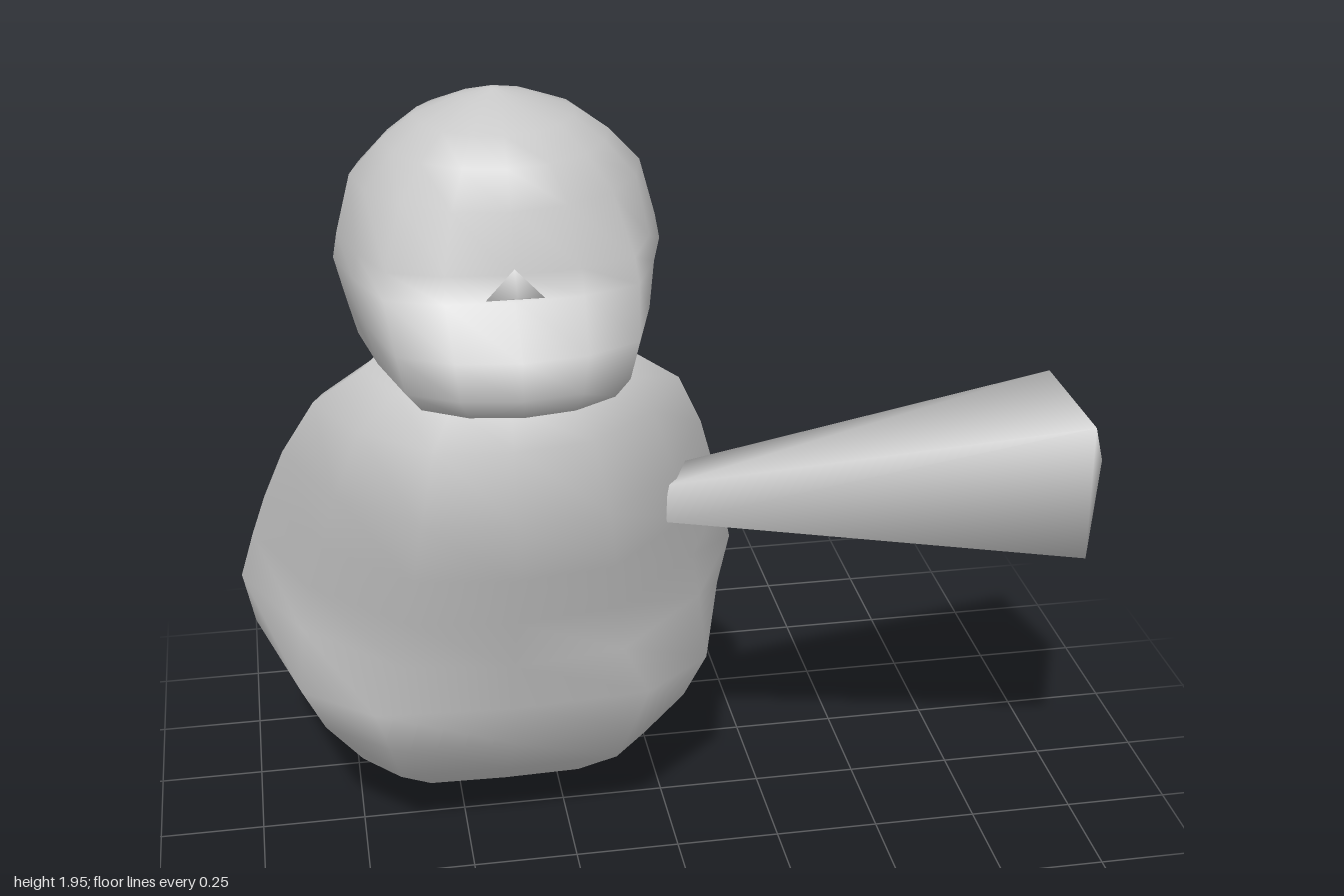
import * as THREE from 'three';

const grey = new THREE.MeshStandardMaterial({ color: 0xc8c8c8 });
grey.name = 'plain grey';

// Half outlines from front centre to back centre, as fractions of half width and depth
const UNDER = [[0, 1], [0.68, 0.98], [0.9, 0.74], [1, 0], [0.96, -0.25], [0.88, -0.6], [0.66, -1], [0, -1]];
const BELLY = [[0, 1], [0.55, 0.96], [0.83, 0.7], [1, 0], [0.95, -0.2], [0.73, -0.58], [0.46, -1], [0, -1]];
const CHEST = [[0, 1], [0.42, 0.93], [0.78, 0.53], [1, 0], [0.94, -0.15], [0.7, -0.56], [0.42, -1], [0, -1]];
const ROUND = [[0, 1], [0.38, 0.92], [0.71, 0.71], [0.92, 0.38], [1, 0], [0.92, -0.38], [0.72, -0.72], [0, -1]];
const SNOUT = [[0, 1], [0.41, 0.955], [0.75, 0.82], [0.9, 0.42], [1, 0], [0.92, -0.38], [0.72, -0.72], [0, -1]];

// Mirrored ring of points at height y
function ring([y, front, back, half, mid, outline]) {
  const at = ([fx, fz], s) => new THREE.Vector3(
    s * fx * half, y, mid + fz * (fz > 0 ? front - mid : mid - back));
  const right = outline.map((p) => at(p, 1));
  const left = outline.slice(1, -1).reverse().map((p) => at(p, -1));
  return [...right, ...left];
}

// Smooth skin over stacked rings; each end is closed by a fan, the last one peaking at height tip
function loft(rings, tip = rings.at(-1)[0].y) {
  const n = rings[0].length;
  const pos = [], index = [];
  rings.forEach((r) => r.forEach((p) => pos.push(p.x, p.y, p.z)));
  for (let i = 0; i < rings.length - 1; i++) {
    for (let j = 0; j < n; j++) {
      const a = i * n + j, b = i * n + (j + 1) % n;
      index.push(a, b, a + n, b, b + n, a + n);
    }
  }
  [0, rings.length - 1].forEach((i) => {
    const c = new THREE.Vector3();
    rings[i].forEach((p) => c.addScaledVector(p, 1 / n));
    const k = pos.length / 3;
    pos.push(c.x, i === 0 ? c.y : tip, c.z);
    for (let j = 0; j < n; j++) {
      const a = i * n + j, b = i * n + (j + 1) % n;
      if (i === 0) index.push(k, b, a); else index.push(k, a, b);
    }
  });
  const g = new THREE.BufferGeometry();
  g.setAttribute('position', new THREE.Float32BufferAttribute(pos, 3));
  g.setIndex(index);
  g.computeVertexNormals();
  return g;
}

function part(name, geometry) {
  const mesh = new THREE.Mesh(geometry, grey);
  mesh.name = name;
  return mesh;
}

export function createModel() {
  const model = new THREE.Group();
  model.name = 'sittingFigure';

  // Leaning body: y, front z, back z, half width, z of widest point, outline
  const body = part('body', loft([
    [0, -0.23, -0.25, 0.15, -0.24, UNDER],
    [0.06, -0.08, -0.51, 0.22, -0.25, UNDER],
    [0.11, 0.05, -0.55, 0.27, -0.24, UNDER],
    [0.22, 0.18, -0.64, 0.385, -0.22, UNDER],
    [0.36, 0.29, -0.7, 0.52, -0.2, BELLY],
    [0.48, 0.33, -0.71, 0.58, -0.19, BELLY],
    [0.62, 0.38, -0.725, 0.605, -0.17, CHEST],
    [0.76, 0.43, -0.68, 0.57, -0.11, CHEST],
    [0.89, 0.475, -0.56, 0.535, -0.04, CHEST],
    [1.05, 0.53, -0.36, 0.485, 0.06, CHEST],
    [1.22, 0.51, -0.14, 0.41, 0.18, CHEST],
    [1.3, 0.46, -0.06, 0.3, 0.2, CHEST],
    [1.37, 0.3, 0, 0.2, 0.15, CHEST],
    [1.41, 0.14, 0.1, 0.08, 0.12, CHEST],
  ].map(ring)));
  body.position.x = -0.4;

  // Round head whose lower rings push forward into a broad snout
  const head = new THREE.Group();
  head.name = 'head';
  head.position.x = -0.4;
  head.add(part('skull', loft([
    [1.3, 0.46, 0.22, 0.17, 0.3, SNOUT],
    [1.38, 0.69, 0.09, 0.265, 0.28, SNOUT],
    [1.42, 0.7, 0.06, 0.305, 0.28, SNOUT],
    [1.51, 0.72, 0.045, 0.328, 0.28, SNOUT],
    [1.595, 0.605, 0.03, 0.348, 0.28, SNOUT],
    [1.65, 0.592, 0.035, 0.338, 0.28, SNOUT],
    [1.775, 0.57, 0.06, 0.305, 0.28, ROUND],
    [1.85, 0.53, 0.12, 0.237, 0.29, ROUND],
    [1.9, 0.47, 0.16, 0.17, 0.29, ROUND],
    [1.935, 0.37, 0.23, 0.075, 0.29, ROUND],
    [1.95, 0.3, 0.28, 0.01, 0.29, ROUND],
  ].map(ring))));

  // Small three-sided nose above the mouth crease
  const nose = new THREE.BufferGeometry();
  nose.setAttribute('position', new THREE.Float32BufferAttribute(
    [0, 1.665, 0.6, -0.06, 1.6, 0.6, 0.06, 1.6, 0.6, 0, 1.62, 0.645], 3));
  nose.setIndex([0, 1, 3, 0, 3, 2, 3, 1, 2]);
  nose.computeVertexNormals();
  head.add(part('nose', nose));

  // Square arm flaring outwards to a blunt point
  const square = (y, h) => [[1, 1], [1, -1], [-1, -1], [-1, 1]]
    .map(([x, z]) => new THREE.Vector3(x * h, y, z * h));
  const arm = part('arm', loft([square(-0.04, 0.047), square(0.915, 0.165)], 1).rotateZ(-Math.PI / 2));
  arm.position.set(0, 0.972, 0.27);

  model.add(body, head, arm);
  return model;
}
